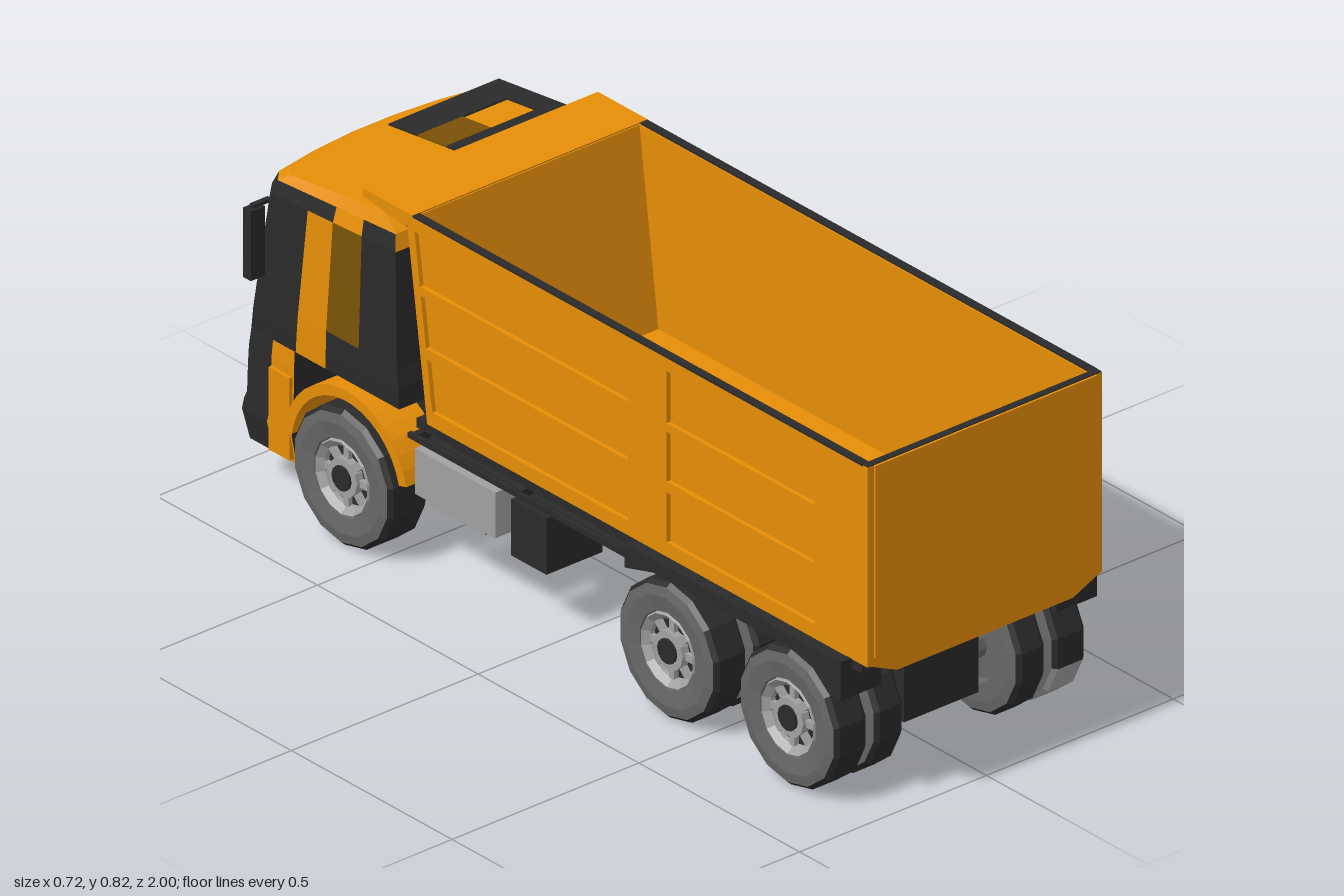
import * as THREE from 'three';

const mat = (name, color) => {
  const m = new THREE.MeshStandardMaterial({ color, flatShading: true });
  m.name = name;
  return m;
};

export function createModel() {
  const orange = mat('orange paint', 0xe68e08);
  const amber = mat('dark amber', 0x7a5208);
  const black = mat('black', 0x2a2a2a);
  const rubber = mat('sidewall grey', 0x666666);
  const metal = mat('light metal', 0xa0a0a0);
  const root = new THREE.Group();
  root.name = 'dumpTruck';

  const add = (name, geo, m, parent = root) => {
    const mesh = new THREE.Mesh(geo, m);
    mesh.name = name;
    parent.add(mesh);
    return mesh;
  };
  // box given by its limits on each axis
  const box = (name, m, [x0, x1], [y0, y1], [z0, z1]) => {
    const g = new THREE.BoxGeometry(x1 - x0, y1 - y0, z1 - z0);
    g.translate((x0 + x1) / 2, (y0 + y1) / 2, (z0 + z1) / 2);
    return add(name, g, m);
  };
  const poly = (pts, C = THREE.Shape) => new C(pts.map(p => new THREE.Vector2(...p)));
  // (z, y) outline extruded along x
  const sideExtrude = (name, m, shape, x0, x1) => {
    const g = new THREE.ExtrudeGeometry(shape, { depth: x1 - x0, bevelEnabled: false, curveSegments: 8 });
    g.rotateY(-Math.PI / 2).translate(x1, 0, 0);
    return add(name, g, m);
  };
  // (x, y) outline extruded along z
  const crossExtrude = (name, m, pts, z0, z1) =>
    add(name, new THREE.ExtrudeGeometry(poly(pts), { depth: z1 - z0, bevelEnabled: false }).translate(0, 0, z0), m);

  // Cab shell: plan rings stacked in height, one material per facet
  const frontX = [0.9, 0.54, 0.18, -0.18, -0.54, -0.9];
  const ring = ({ y, zr, zf, w, drop = 0 }) => {
    const sideZ = [0, 0.27, 0.5, 0.7, 1].map(t => zr + (zf + 0.065 - zr) * t);
    const p = [
      ...sideZ.map(z => [w, z]),
      ...frontX.map(f => [f * w, zf + 0.042 * f * f]),
      ...sideZ.slice().reverse().map(z => [-w, z]),
    ];
    return p.map(([x, z]) => [x, y - drop * (zr - z) / (zr - zf), z]);
  };
  const loft = (name, levels, paint) => {
    const rings = levels.map(ring), n = rings[0].length;
    const buckets = new Map([[orange, []], [black, []], [amber, []]]);
    const tri = (m, ...v) => buckets.get(m).push(...v.flat());
    for (let j = 0; j < rings.length - 1; j++) {
      for (let i = 0; i < n; i++) {
        const a = rings[j][i], b = rings[j][(i + 1) % n], c = rings[j + 1][(i + 1) % n], d = rings[j + 1][i];
        const m = paint(j, i);
        tri(m, a, b, c);
        tri(m, a, c, d);
      }
    }
    const centre = r => [0, 1, 2].map(k => r.reduce((s, p) => s + p[k], 0) / n);
    const lo = rings[0], hi = rings[rings.length - 1], cl = centre(lo), ch = centre(hi);
    for (let i = 0; i < n; i++) {
      tri(orange, hi[i], hi[(i + 1) % n], ch);
      tri(black, lo[(i + 1) % n], lo[i], cl);
    }
    for (const [m, pos] of buckets) {
      if (!pos.length) continue;
      const g = new THREE.BufferGeometry();
      g.setAttribute('position', new THREE.Float32BufferAttribute(pos, 3));
      g.computeVertexNormals();
      add(name, g, m);
    }
  };
  // facet index folded left to right: 0-3 side, 4 corner, 5-7 front, 15 rear
  const fold = i => (i === 15 ? 15 : Math.min(i, 14 - i));
  const pick = dark => (dark ? black : orange);
  loft('cab', [
    { y: 0.36, zr: -0.455, zf: -0.98, w: 0.32 },
    { y: 0.41, zr: -0.455, zf: -0.972, w: 0.322 },
    { y: 0.45, zr: -0.46, zf: -0.965, w: 0.322 },
    { y: 0.715, zr: -0.47, zf: -0.925, w: 0.317, drop: 0.025 },
    { y: 0.75, zr: -0.48, zf: -0.912, w: 0.308, drop: 0.03 },
    { y: 0.778, zr: -0.53, zf: -0.89, w: 0.295, drop: 0.045 },
  ], (j, i) => {
    const s = fold(i);
    if (s === 15) return pick(j < 3);
    if (j === 0) return pick(s < 4 && s !== 2);
    if (j === 1) return pick((s < 5 && s !== 2) || s === 6);
    if (j === 2) return s === 1 ? amber : pick(s === 0 || s === 3 || s === 4 || s === 6);
    if (j === 3) return pick((s !== 1 && s < 5) || s === 6);
    return pick(i === 1 || i === 3);
  });
  loft('lowerFront', [
    { y: 0.1, zr: -0.78, zf: -0.99, w: 0.315 },
    { y: 0.17, zr: -0.78, zf: -1, w: 0.328 },
    { y: 0.2, zr: -0.78, zf: -0.988, w: 0.325 },
    { y: 0.28, zr: -0.78, zf: -0.988, w: 0.322 },
    { y: 0.32, zr: -0.78, zf: -0.985, w: 0.322 },
    { y: 0.36, zr: -0.78, zf: -0.98, w: 0.32 },
  ], (j, i) => {
    const s = fold(i);
    if (s < 2) return orange;
    if (j < 3) return pick(!(i === 5 && j === 0));
    return pick(s < 4 || s === 15 || (j === 3 && s < 6));
  });

  // Roof patches lying on the sloping roof
  const slope = 0.125;
  for (const [m, x0, x1, z0, z1] of [
    [black, 0, 0.295, -0.86, -0.77], [amber, 0, 0.12, -0.77, -0.68],
    [black, 0.24, 0.295, -0.77, -0.68], [black, 0, 0.295, -0.68, -0.58],
  ]) {
    const plate = add('roofPatch', new THREE.BoxGeometry(x1 - x0, 0.006, z1 - z0), m);
    const z = (z0 + z1) / 2;
    plate.position.set((x0 + x1) / 2, 0.779 - slope * (-0.53 - z), z);
    plate.rotation.x = -slope;
  }

  // Bed: floor, sloping front wall, canopy and tailgate
  crossExtrude('bedFloor', black, [[-0.31, 0.36], [-0.23, 0.325], [0.23, 0.325], [0.31, 0.36]], -0.38, 0.985);
  box('bedLiner', orange, [-0.295, 0.295], [0.36, 0.368], [-0.37, 0.98]);
  sideExtrude('bedFront', orange, poly([[-0.38, 0.36], [-0.36, 0.36], [-0.42, 0.815], [-0.44, 0.815]]), -0.31, 0.31);
  sideExtrude('canopy', orange, poly([[-0.42, 0.82], [-0.575, 0.82], [-0.575, 0.803], [-0.44, 0.785]]), -0.315, 0.315);
  crossExtrude('tailgate', orange, [[-0.313, 0.818], [-0.313, 0.36], [-0.235, 0.325], [0.235, 0.325], [0.313, 0.36], [0.313, 0.818]], 0.978, 0.996);
  crossExtrude('tailgatePanel', orange, [[-0.297, 0.818], [-0.297, 0.375], [-0.23, 0.345], [0.23, 0.345], [0.297, 0.375], [0.297, 0.818]], 0.99, 1);
  box('rearRim', black, [-0.313, 0.313], [0.815, 0.82], [0.978, 0.995]);

  const wallPts = [[0.995, 0.357], [-0.375, 0.357], [-0.44, 0.815], [0.995, 0.815]];
  const slopeZ = y => -0.355 - 0.14 * (y - 0.36);

  // Wheel, outer face along +y before it is turned sideways; worn = facets of lighter tread
  const seg = Math.PI / 7;
  const makeWheel = (name, half, side, x, z, worn = 0) => {
    const w = new THREE.Group();
    w.name = name;
    const lathe = (n, pts, m, from = 0, count = 14) =>
      add(n, new THREE.LatheGeometry(pts.map(p => new THREE.Vector2(...p)), count, Math.PI / 2 + from * seg, count * seg), m, w);
    const tread = [[0.147, -half + 0.004], [0.156, -half + 0.014], [0.156, half - 0.014], [0.147, half - 0.004]];
    lathe('tread', tread, black, 0, 14 - worn);
    if (worn) lathe('wornTread', tread, metal, 14 - worn, worn);
    lathe('outerSidewall', [[0.147, half - 0.004], [0.125, half], [0.088, half - 0.006], [0.084, half - 0.03]], rubber);
    lathe('innerSidewall', [[0.02, -half + 0.02], [0.08, -half + 0.02], [0.086, -half], [0.125, -half], [0.147, -half + 0.004]], rubber);
    lathe('rimRing', [[0.086, half - 0.012], [0.082, half - 0.004], [0.068, half - 0.018], [0.066, half - 0.03]], metal);
    const disc = (n, r, h, y, m) => add(n, new THREE.CylinderGeometry(r, r, h, 12), m, w).position.set(0, y, 0);
    disc('rimDish', 0.084, 0.01, half - 0.033, black);
    disc('hub', 0.044, 0.024, half - 0.02, metal);
    disc('hubCap', 0.028, 0.012, half - 0.008, black);
    for (let i = 0; i < 8; i++) {
      const spoke = add('spoke', new THREE.BoxGeometry(0.035, 0.012, 0.016), metal, w);
      const a = i * Math.PI / 4;
      spoke.position.set(Math.cos(a) * 0.056, half - 0.023, Math.sin(a) * 0.056);
      spoke.rotation.y = -a;
    }
    w.rotation.z = -side * Math.PI / 2;
    w.position.set(side * x, 0.156, z);
    root.add(w);
  };

  for (const s of [1, -1]) {
    const span = (a, b) => (s > 0 ? [a, b] : [-b, -a]);

    // Side wall with a skin cut by six recessed panels
    const skin = poly(wallPts);
    for (const [y0, y1] of [[0.39, 0.505], [0.53, 0.645], [0.665, 0.785]]) {
      skin.holes.push(poly([[0.83, y0], [0.83, y1], [0.37, y1], [0.37, y0]], THREE.Path));
      skin.holes.push(poly([[0.25, y0], [0.25, y1], [slopeZ(y1), y1], [slopeZ(y0), y0]], THREE.Path));
    }
    sideExtrude('bedWall', orange, poly(wallPts), ...span(0.293, 0.304));
    sideExtrude('bedWallSkin', orange, skin, ...span(0.304, 0.314));
    box('sideRim', black, span(0.296, 0.314), [0.815, 0.82], [-0.42, 0.98]);

    // Mudguard and its rear flap
    sideExtrude('mudguard', black, poly([[0.94, 0.28], [0.94, 0.355], [0.27, 0.355], [0.27, 0.3], [0.36, 0.325], [0.82, 0.325]]), ...span(0.24, 0.34));
    const flap = [[0.235, 0.27], [0.343, 0.27], [0.343, 0.36], [0.31, 0.358], [0.235, 0.326]];
    crossExtrude('mudguardFlap', black, flap.map(([x, y]) => [s * x, y]), 0.93, 0.945);

    // Side rails and chassis rail
    box('sideRail', black, span(0.326, 0.336), [0.32, 0.332], [-0.41, 0.27]);
    box('lowerBedRail', black, span(0.29, 0.312), [0.335, 0.357], [-0.41, 0.975]);
    box('sideBeam', black, span(0.27, 0.305), [0.3, 0.318], [-0.41, 0.25]);
    for (const z of [-0.4, -0.08, 0.24]) box('railBracket', black, span(0.29, 0.33), [0.318, 0.335], [z, z + 0.015]);
    box('chassisRail', black, span(0.075, 0.13), [0.215, 0.29], [-0.85, 0.84]);

    // Tank and equipment box
    box('tank', metal, span(0.18, 0.325), [0.19, 0.295], [-0.4, -0.15]);
    box('tankFoot', metal, span(0.2, 0.31), [0.17, 0.19], [-0.37, -0.2]);
    box('equipmentBox', black, span(0.15, 0.3), [0.15, 0.28], [-0.13, -0.02]);

    // Front fender arch and the step ahead of it
    const arch = new THREE.Shape();
    arch.absarc(-0.595, 0.16, 0.194, 0.25, Math.PI - 0.15, false);
    arch.absarc(-0.595, 0.16, 0.17, Math.PI - 0.15, 0.25, true);
    sideExtrude('fender', orange, arch, ...span(0.235, 0.342));
    box('step', orange, span(0.24, 0.33), [0.11, 0.3], [-0.85, -0.785]);

    // Side mirror on its arm
    box('mirror', black, span(0.322, 0.36), [0.5, 0.66], [-0.895, -0.87]);
    box('mirrorArm', black, span(0.3, 0.348), [0.66, 0.668], [-0.888, -0.876]);

    // Front wheel and rear dual wheels
    makeWheel('frontWheel', 0.055, s, 0.304, -0.595);
    for (const z of [0.77, 0.395]) {
      makeWheel('rearOuterWheel', 0.047, s, 0.292, z, s > 0 ? 3 : 0);
      makeWheel('rearInnerWheel', 0.041, s, 0.19, z);
    }
  }

  // Axles, differentials and underbody
  for (const z of [-0.595, 0.395, 0.77]) {
    const axle = add('axle', new THREE.CylinderGeometry(0.035, 0.035, 0.5, 10), rubber);
    axle.rotation.z = Math.PI / 2;
    axle.position.set(0, 0.155, z);
    if (z > 0) box('differential', black, [-0.1, 0.1], [0.1, 0.24], [z - 0.09, z + 0.09]);
  }
  box('subframe', black, [-0.13, 0.13], [0.27, 0.33], [-0.45, 0.9]);
  box('engine', black, [-0.16, 0.16], [0.2, 0.38], [-0.78, -0.47]);
  box('gearbox', black, [-0.06, 0.06], [0.17, 0.26], [-0.47, -0.2]);
  return root;
}
